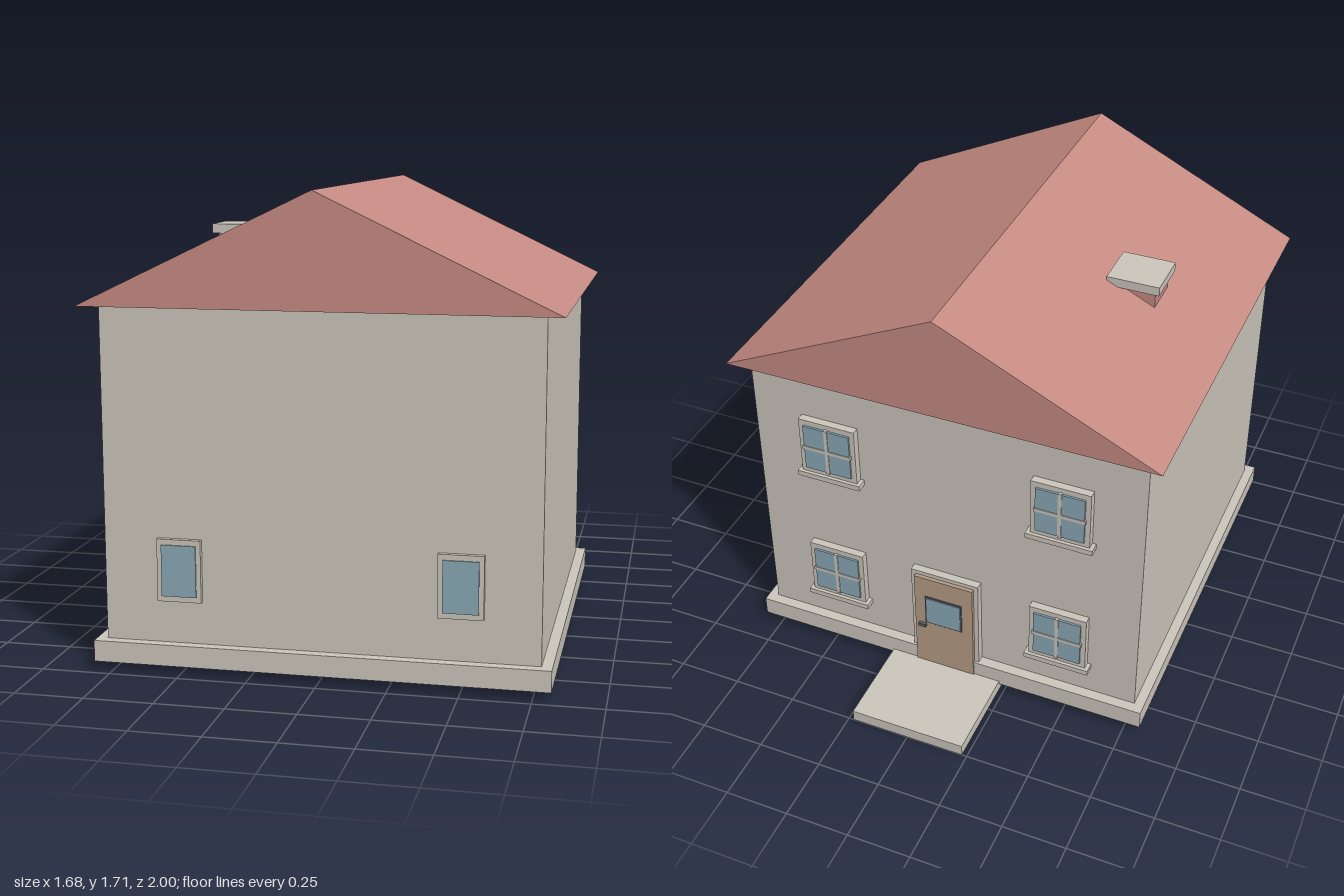
import * as THREE from 'three';

const mat = (name, color) => {
  const m = new THREE.MeshStandardMaterial({ color });
  m.name = name;
  return m;
};

export function createModel() {
  const plaster = mat('plaster', 0xcbc6bc);
  const roofRed = mat('roofRed', 0xc58b82);
  const glass = mat('glass', 0x89a8b5);
  const wood = mat('wood', 0xb59c84);
  const metal = mat('metal', 0x55606a);

  const house = new THREE.Group();
  house.name = 'house';

  // Box given by its extents on each axis
  const box = (parent, name, material, [x0, x1], [y0, y1], [z0, z1]) => {
    const mesh = new THREE.Mesh(new THREE.BoxGeometry(x1 - x0, y1 - y0, z1 - z0), material);
    mesh.position.set((x0 + x1) / 2, (y0 + y1) / 2, (z0 + z1) / 2);
    mesh.name = name;
    parent.add(mesh);
    return mesh;
  };
  const group = (name, x = 0, y = 0, z = 0) => {
    const g = new THREE.Group();
    g.name = name;
    g.position.set(x, y, z);
    house.add(g);
    return g;
  };

  // Main body
  box(house, 'plinth', plaster, [-0.815, 0.815], [0.033, 0.11], [-0.638, 0.972]);
  box(house, 'walls', plaster, [-0.777, 0.777], [0.11, 1.31], [-0.597, 0.933]);

  // Gable roof prism
  const gable = new THREE.Shape();
  gable.moveTo(-0.84, 1.31);
  gable.lineTo(0.84, 1.31);
  gable.lineTo(0, 1.712);
  gable.closePath();
  const roof = new THREE.Mesh(
    new THREE.ExtrudeGeometry(gable, { depth: 1.665, bevelEnabled: false }), roofRed);
  roof.position.z = -0.665;
  roof.name = 'roof';
  house.add(roof);

  // Chimney
  const chimney = group('chimney');
  box(chimney, 'chimneyStack', roofRed, [-0.55, -0.385], [1.4, 1.515], [0.09, 0.24]);
  box(chimney, 'chimneyCap', plaster, [-0.57, -0.365], [1.515, 1.551], [0.07, 0.26]);

  // Small front windows
  for (const x of [-0.5, 0.5]) {
    const w = group('frontWindow', x, 0.377, 0.933);
    box(w, 'windowFrame', plaster, [-0.08, 0.08], [-0.113, 0.113], [0, 0.018]);
    box(w, 'windowGlass', glass, [-0.063, 0.063], [-0.093, 0.093], [0.016, 0.023]);
  }

  // Four-pane back windows, upper and lower rows
  for (const x of [-0.465, 0.465]) {
    for (const y of [0.25, 0.863]) {
      const w = group('backWindow', x, y, -0.597);
      box(w, 'windowFrame', plaster, [-0.115, 0.115], [0, 0.243], [-0.03, 0]);
      box(w, 'windowSill', plaster, [-0.13, 0.13], [-0.02, 0.002], [-0.043, 0]);
      for (const sx of [-1, 1]) {
        for (const py of [0.07, 0.174]) {
          const px = sx * 0.051;
          box(w, 'windowPane', glass, [px - 0.044, px + 0.044], [py - 0.046, py + 0.046], [-0.038, -0.029]);
        }
      }
      box(w, 'verticalBar', plaster, [-0.007, 0.007], [0.02, 0.224], [-0.041, -0.029]);
      box(w, 'crossBar', plaster, [-0.1, 0.1], [0.115, 0.129], [-0.041, -0.029]);
    }
  }

  // Door with its frame, window and handle
  const door = group('door');
  box(door, 'doorFrame', plaster, [-0.14, 0.14], [0.015, 0.51], [-0.628, -0.59]);
  box(door, 'doorPanel', wood, [-0.122, 0.122], [0.02, 0.493], [-0.643, -0.6]);
  box(door, 'doorWindowFrame', metal, [-0.077, 0.077], [0.266, 0.402], [-0.647, -0.642]);
  box(door, 'doorWindow', glass, [-0.072, 0.072], [0.271, 0.397], [-0.651, -0.644]);
  box(door, 'doorHandle', metal, [0.075, 0.105], [0.243, 0.257], [-0.655, -0.642]);

  // Doorstep slab
  box(house, 'doorstep', plaster, [-0.23, 0.23], [0, 0.047], [-1, -0.615]);

  return house;
}
